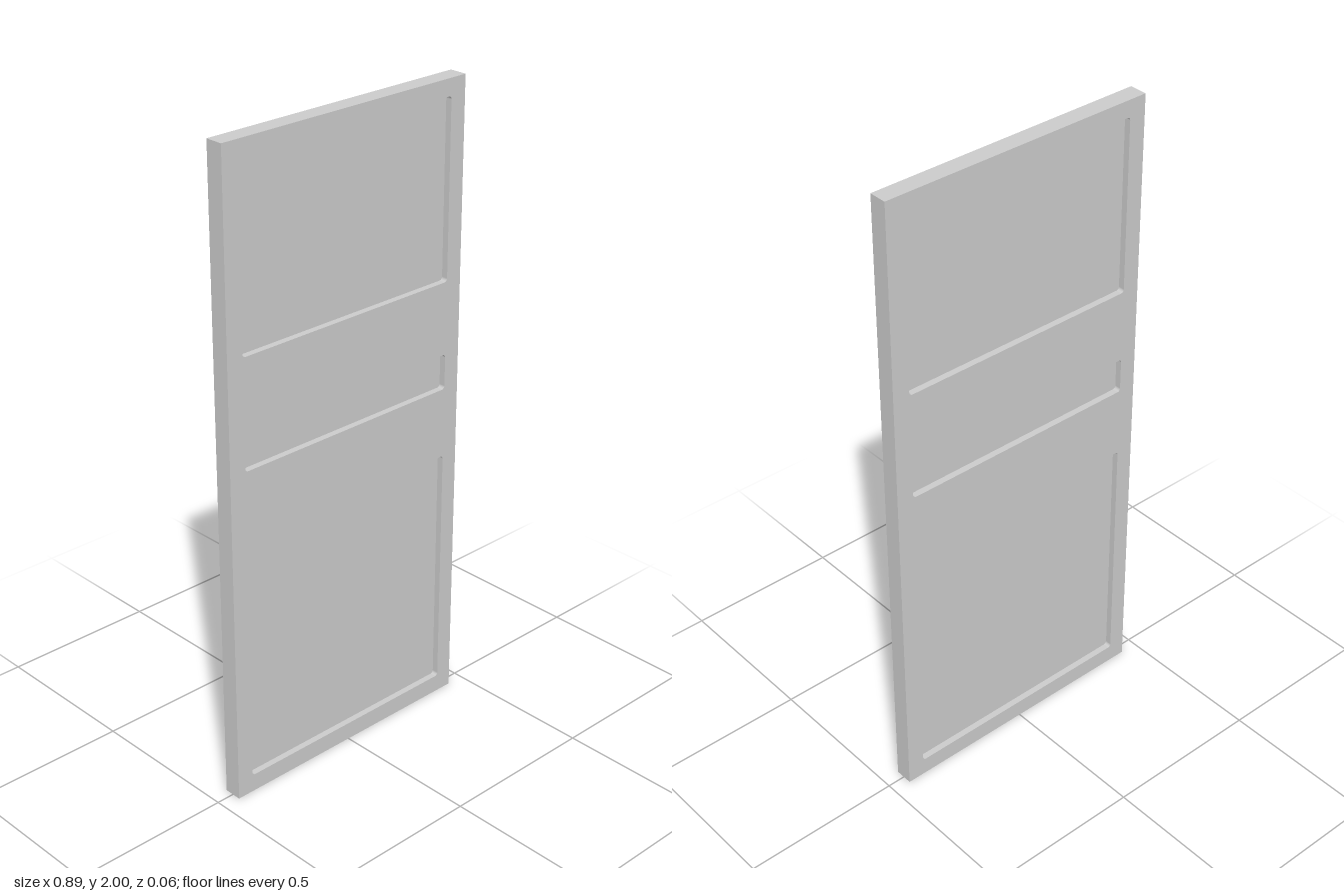
import * as THREE from 'three';

const WIDTH = 0.886, HEIGHT = 2, THICKNESS = 0.056, RECESS = 0.02;
const PANEL_HALF_WIDTH = 0.389, CORNER = 0.01;

// Bottom and top of each recessed panel
const PANELS = [
  ['lowerPanel', 0.056, 0.836],
  ['middlePanel', 1.058, 1.169],
  ['upperPanel', 1.398, 1.948],
];

// Rectangle with slightly rounded corners
function roundedRect(target, y0, y1) {
  const w = PANEL_HALF_WIDTH, r = CORNER;
  target.moveTo(-w + r, y0);
  target.absarc(w - r, y0 + r, r, -Math.PI / 2, 0);
  target.absarc(w - r, y1 - r, r, 0, Math.PI / 2);
  target.absarc(-w + r, y1 - r, r, Math.PI / 2, Math.PI);
  target.absarc(-w + r, y0 + r, r, Math.PI, Math.PI * 1.5);
  target.closePath();
  return target;
}

// Extrusion centred on z = 0
function slab(shape, depth) {
  return new THREE.ExtrudeGeometry(shape, { depth, bevelEnabled: false, curveSegments: 6 })
    .translate(0, 0, -depth / 2);
}

export function createModel() {
  const door = new THREE.Group();
  door.name = 'door';
  const material = new THREE.MeshStandardMaterial({ color: 0xcccccc });

  const add = (name, geometry) => {
    const mesh = new THREE.Mesh(geometry, material);
    mesh.name = name;
    door.add(mesh);
  };

  // Frame of stiles and rails with three openings
  const outline = new THREE.Shape();
  outline.moveTo(-WIDTH / 2, 0);
  outline.lineTo(WIDTH / 2, 0);
  outline.lineTo(WIDTH / 2, HEIGHT);
  outline.lineTo(-WIDTH / 2, HEIGHT);
  outline.closePath();
  for (const [, y0, y1] of PANELS) outline.holes.push(roundedRect(new THREE.Path(), y0, y1));
  add('frame', slab(outline, THICKNESS));

  // Thin panels, recessed on both faces
  for (const [name, y0, y1] of PANELS) {
    add(name, slab(roundedRect(new THREE.Shape(), y0, y1), THICKNESS - 2 * RECESS));
  }

  return door;
}
